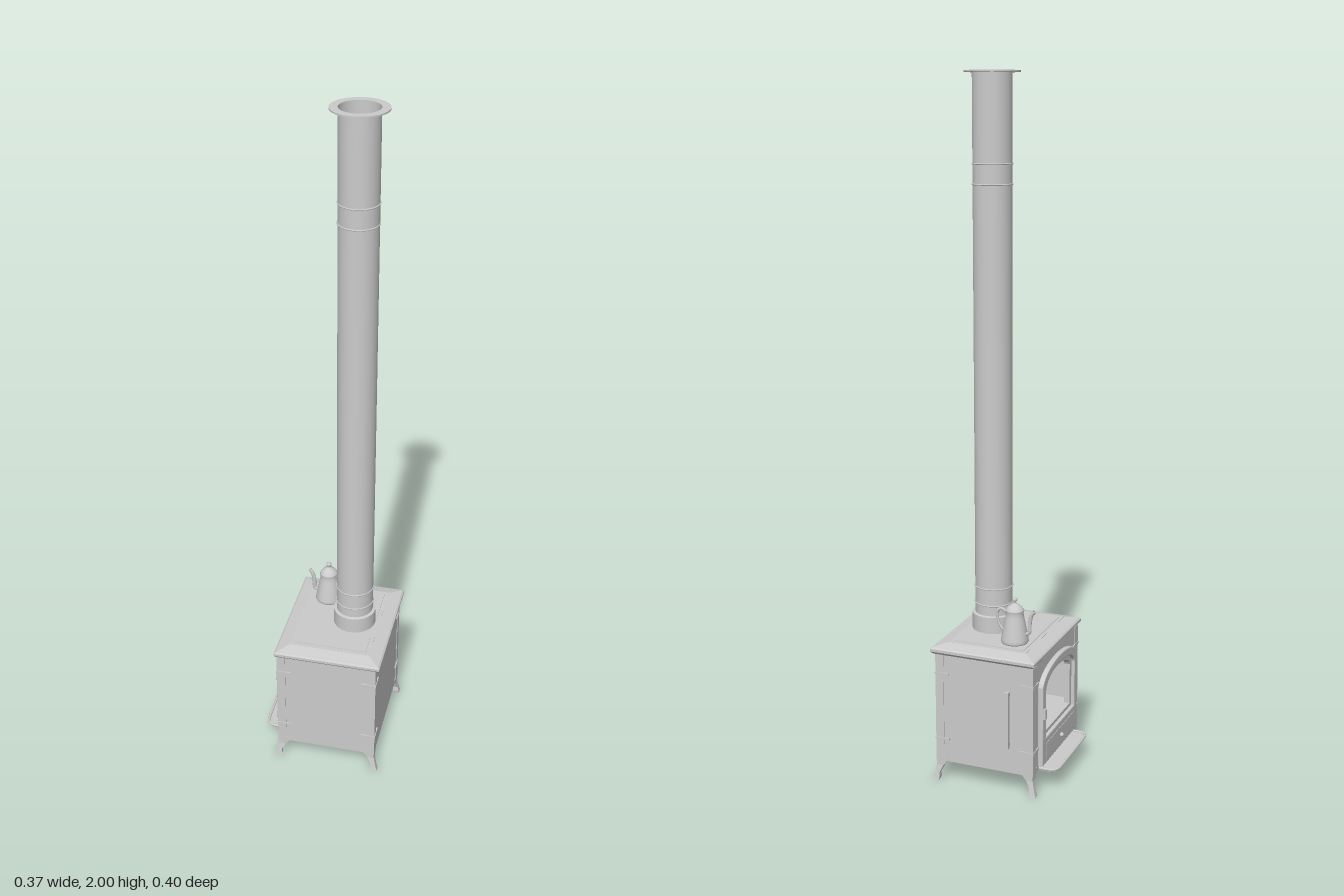
import * as THREE from 'three';

const mat = new THREE.MeshStandardMaterial({ color: 0xcccccc, side: THREE.DoubleSide });
const flat = new THREE.MeshStandardMaterial({ color: 0xcccccc, side: THREE.DoubleSide, flatShading: true });
const V2 = (x, y) => new THREE.Vector2(x, y);
const V3 = (x, y, z) => new THREE.Vector3(x, y, z);

// Body extents
const X0 = -0.127, X1 = 0.169, Z0 = -0.182, Z1 = 0.187;
const CX = (X0 + X1) / 2, CZ = (Z0 + Z1) / 2;

function add(parent, name, geometry, x = 0, y = 0, z = 0, material = mat) {
  const mesh = new THREE.Mesh(geometry, material);
  mesh.name = name;
  mesh.position.set(x, y, z);
  parent.add(mesh);
  return mesh;
}

// Box given by its two opposite corners
function block(parent, name, x0, x1, y0, y1, z0, z1) {
  return add(parent, name, new THREE.BoxGeometry(x1 - x0, y1 - y0, z1 - z0), (x0 + x1) / 2, (y0 + y1) / 2, (z0 + z1) / 2);
}

// Walls through rectangles [x0, x1, y, z0, z1], listed from bottom to top
function loft(sections, caps) {
  const pos = [];
  const quad = (a, b, c, d) => [a, b, c, a, c, d].forEach(p => pos.push(...p));
  const rings = sections.map(([x0, x1, y, z0, z1]) => [[x0, y, z0], [x0, y, z1], [x1, y, z1], [x1, y, z0]]);
  for (let k = 0; k < rings.length - 1; k++) {
    for (let i = 0; i < 4; i++) {
      const j = (i + 1) % 4;
      quad(rings[k][i], rings[k][j], rings[k + 1][j], rings[k + 1][i]);
    }
  }
  if (caps) {
    quad(...rings[rings.length - 1]);
    quad(...[...rings[0]].reverse());
  }
  const g = new THREE.BufferGeometry();
  g.setAttribute('position', new THREE.Float32BufferAttribute(pos, 3));
  g.computeVertexNormals();
  return g;
}

function rect(x0, x1, y0, y1) {
  return new THREE.Shape([V2(x0, y0), V2(x1, y0), V2(x1, y1), V2(x0, y1)]);
}

// Flat-bottomed outline with a shallow arched head
function arch(w, y0, spring, top) {
  const s = new THREE.Shape();
  const c = spring + (top - spring) / 0.75;
  s.moveTo(-w, y0);
  s.lineTo(w, y0);
  s.lineTo(w, spring);
  s.bezierCurveTo(w * 0.85, c, -w * 0.85, c, -w, spring);
  s.closePath();
  return s;
}

function extrude(shape, depth, bevel = 0) {
  return new THREE.ExtrudeGeometry(shape, {
    depth, curveSegments: 20, bevelEnabled: bevel > 0, bevelThickness: bevel, bevelSize: bevel, bevelOffset: -bevel, bevelSegments: 2
  });
}

function tube(points, r, segments = 24, closed = false) {
  return new THREE.TubeGeometry(new THREE.CatmullRomCurve3(points, closed), segments, r, 10, closed);
}

function makeBody() {
  const body = new THREE.Group();
  body.name = 'stoveBody';
  const t = 0.012;
  block(body, 'rearWall', X1 - t, X1, 0.06, 0.39, Z0, Z1);
  block(body, 'sideWall', X0, X1, 0.06, 0.39, Z0, Z0 + t);
  block(body, 'sideWall', X0, X1, 0.06, 0.39, Z1 - t, Z1);
  block(body, 'fireboxFloor', X0 + t, X1 - t, 0.085, 0.15, Z0 + t, Z1 - t);
  for (const sx of [-1, 1]) for (const sz of [-1, 1]) {
    const x = sx < 0 ? X0 : X1, z = sz < 0 ? Z0 : Z1;
    // Corner trims and their straps
    add(body, 'cornerTrim', new THREE.BoxGeometry(0.025, 0.325, 0.025), x - sx * 0.0105, 0.2245, z - sz * 0.0105);
    for (const y of [0.13, 0.33]) {
      add(body, 'cornerStrap', new THREE.BoxGeometry(0.044, 0.007, 0.044), x - sx * 0.018, y, z - sz * 0.018);
    }
    // Splayed tapering leg: outward offset, height, width
    const sections = [[0.012, 0, 0.018], [0.01, 0.006, 0.018], [0.006, 0.022, 0.014], [0.001, 0.045, 0.02], [0.001, 0.062, 0.034], [0.001, 0.075, 0.036]]
      .map(([o, y, w]) => {
        const xa = x + sx * o, xb = xa - sx * w, za = z + sz * o * 0.7, zb = za - sz * w;
        return [Math.min(xa, xb), Math.max(xa, xb), y, Math.min(za, zb), Math.max(za, zb)];
      });
    add(body, 'leg', loft(sections, true), 0, 0, 0, flat);
  }
  // Upright bar handle on the side
  block(body, 'sideHandle', -0.06, -0.048, 0.14, 0.31, Z0 - 0.018, Z0 - 0.008);
  for (const y of [0.15, 0.3]) block(body, 'handleMount', -0.058, -0.05, y - 0.006, y + 0.006, Z0 - 0.01, Z0);
  // Logs in the firebox
  for (const x of [0.055, 0.105]) {
    add(body, 'log', new THREE.CylinderGeometry(0.024, 0.024, 0.2, 14), x, 0.174, CZ).rotation.x = Math.PI / 2;
  }
  return body;
}

function makeDoor() {
  const door = new THREE.Group();
  door.name = 'doorFront';
  door.rotation.y = -Math.PI / 2;
  door.position.set(X0, 0, CZ);
  const hole = arch(0.105, 0.165, 0.29, 0.328);
  const wall = rect(Z0 - CZ, Z1 - CZ, 0.06, 0.39);
  wall.holes.push(hole);
  add(door, 'doorWall', extrude(wall, 0.012), 0, 0, -0.012);
  const frame = arch(0.145, 0.075, 0.315, 0.365);
  frame.holes.push(arch(0.119, 0.155, 0.297, 0.342));
  add(door, 'doorFrame', extrude(frame, 0.01, 0.003), 0, 0, 0.003);
  const lip = arch(0.119, 0.155, 0.297, 0.342);
  lip.holes.push(hole);
  add(door, 'windowLip', extrude(lip, 0.006), 0, 0, 0);
  // Ash drawer, with a knob
  add(door, 'ashDrawer', extrude(rect(-0.12, 0.12, 0.087, 0.138), 0.003, 0.002), 0, 0, 0.012);
  add(door, 'drawerKnob', new THREE.SphereGeometry(0.007, 14, 10), 0, 0.112, 0.02);
  // Latch and hinges
  add(door, 'doorLatch', new THREE.BoxGeometry(0.012, 0.03, 0.012), -0.137, 0.235, 0.017);
  for (const y of [0.13, 0.3]) add(door, 'doorHinge', new THREE.CylinderGeometry(0.006, 0.006, 0.03, 12), 0.15, y, 0.008);
  return door;
}

function makeShelf() {
  const shelf = new THREE.Group();
  shelf.name = 'ashShelf';
  const a = -0.181, b = -0.125, h = 0.133, r = 0.03;
  const s = new THREE.Shape();
  s.moveTo(b, -h);
  s.lineTo(b, h);
  s.lineTo(a + r, h);
  s.quadraticCurveTo(a, h, a, h - r);
  s.lineTo(a, r - h);
  s.quadraticCurveTo(a, -h, a + r, -h);
  s.closePath();
  add(shelf, 'shelfPlate', extrude(s, 0.005), 0, 0.063, 0.003).rotation.x = Math.PI / 2;
  const path = s.getPoints(8).slice(1, -1).map(p => V3(p.x, 0.064, p.y + 0.003));
  path.push(V3(b, 0.064, 0.003 - h));
  add(shelf, 'shelfRim', tube(path, 0.004, 80));
  return shelf;
}

function makeTop() {
  const top = new THREE.Group();
  top.name = 'topPlate';
  const inset = (d, y) => [-0.135 + d, 0.183 - d, y, -0.193 + d, 0.198 - d];
  const profile = [[0.014, 0.385], [0.005, 0.39], [0, 0.396], [0, 0.404], [0.005, 0.408], [0.01, 0.409], [0.04, 0.417]];
  add(top, 'mouldedEdge', loft(profile.map(p => inset(...p))), 0, 0, 0, flat);
  // Plates with the flue opening
  const plate = (name, d, y, depth) => {
    const [x0, x1, , z0, z1] = inset(d, 0);
    const s = rect(x0, x1, z0, z1);
    s.holes.push(new THREE.Path().absarc(0.081, 0.003, 0.034, 0, Math.PI * 2, true));
    add(top, name, extrude(s, depth), 0, y, 0).rotation.x = Math.PI / 2;
  };
  plate('underside', 0.014, 0.389, 0.004);
  plate('surface', 0.04, 0.4175, 0.004);
  plate('treadPanel', 0.052, 0.419, 0.003);
  return top;
}

function makeFlue() {
  const flue = new THREE.Group();
  flue.name = 'fluePipe';
  flue.position.set(0.067, 0, 0.003);
  const lathe = pts => new THREE.LatheGeometry(pts.map(p => V2(...p)), 48);
  add(flue, 'pipe', lathe([[0.0545, 0.418], [0.0545, 2]]));
  add(flue, 'collar', lathe([[0.0545, 0.418], [0.063, 0.418]]));
  add(flue, 'collar', lathe([[0.063, 0.418], [0.063, 0.468]]));
  add(flue, 'collar', lathe([[0.063, 0.468], [0.0545, 0.47]]));
  // Joint beads and the flared top ring
  for (const y of [0.5, 0.55, 1.7, 1.755]) {
    add(flue, 'jointBead', new THREE.TorusGeometry(0.0548, 0.0022, 8, 48), 0, y, 0).rotation.x = Math.PI / 2;
  }
  add(flue, 'topRing', lathe([[0.0545, 1.996], [0.077, 1.996], [0.077, 2], [0.0545, 2]]), 0, 0, 0, flat);
  return flue;
}

function makeKettle() {
  const kettle = new THREE.Group();
  kettle.name = 'kettle';
  kettle.position.set(-0.034, 0.419, -0.085);
  const body = [[0, 0], [0.038, 0], [0.04, 0.004], [0.039, 0.012], [0.034, 0.04], [0.027, 0.075], [0.024, 0.09], [0.027, 0.093],
    [0.026, 0.097], [0.02, 0.106], [0.01, 0.113], [0.005, 0.116], [0.004, 0.12], [0.008, 0.125], [0.007, 0.131], [0, 0.134]];
  add(kettle, 'kettleBody', new THREE.LatheGeometry(body.map(p => V2(...p)), 32));
  add(kettle, 'spout', tube([V3(-0.03, 0.025, 0), V3(-0.044, 0.033, 0), V3(-0.046, 0.06, 0), V3(-0.051, 0.085, 0), V3(-0.06, 0.098, 0)], 0.0055));
  add(kettle, 'kettleHandle', tube([V3(0.025, 0.086, 0), V3(0.042, 0.095, 0), V3(0.053, 0.083, 0), V3(0.049, 0.05, 0), V3(0.034, 0.028, 0)], 0.004));
  return kettle;
}

export function createModel() {
  const model = new THREE.Group();
  model.name = 'woodStove';
  model.add(makeBody(), makeDoor(), makeShelf(), makeTop(), makeFlue(), makeKettle());
  return model;
}
